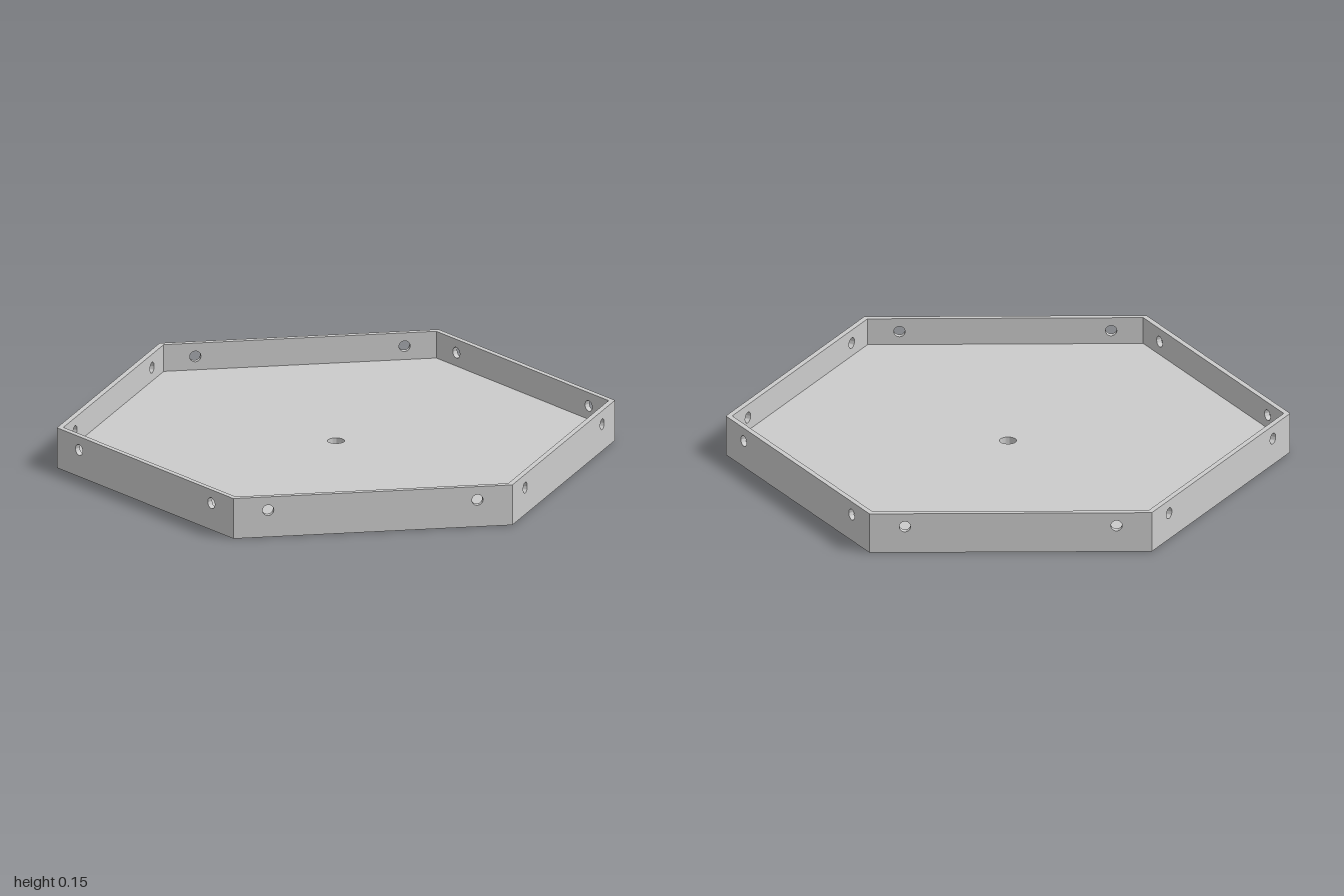
import * as THREE from 'three';
import { toCreasedNormals } from 'three/addons/utils/BufferGeometryUtils.js';

const OUTER = Math.sqrt(3) / 2; // centre to outer wall face
const WALL = 0.02;
const INNER = OUTER - WALL;
const HEIGHT = 0.15;
const FLOOR = 0.05;
const BORE = 0.03; // depth of the wide part of the centre hole

const material = new THREE.MeshStandardMaterial({ color: 0xcccccc });

function circle(x, y, r) {
  return new THREE.Path().absarc(x, y, r, 0, Math.PI * 2, true);
}

function extrude(shape, depth) {
  return new THREE.ExtrudeGeometry(shape, { depth, bevelEnabled: false, curveSegments: 24 });
}

function addMesh(group, name, geometry) {
  const mesh = new THREE.Mesh(toCreasedNormals(geometry, 0.6), material);
  mesh.name = name;
  group.add(mesh);
  return mesh;
}

// Hexagonal slab with a round hole in the middle
function floorLayer(holeRadius, y, thickness) {
  const radius = INNER * 2 / Math.sqrt(3);
  const points = [];
  for (let i = 0; i < 6; i++) {
    const a = Math.PI / 2 + i * Math.PI / 3;
    points.push(new THREE.Vector2(radius * Math.cos(a), radius * Math.sin(a)));
  }
  const shape = new THREE.Shape(points);
  shape.holes.push(circle(0, 0, holeRadius));
  return extrude(shape, thickness).rotateX(-Math.PI / 2).translate(0, y, 0);
}

// Wall panel with two bolt holes and mitred ends
function wallPanel() {
  const shape = new THREE.Shape([
    new THREE.Vector2(-0.5, 0), new THREE.Vector2(0.5, 0),
    new THREE.Vector2(0.5, HEIGHT), new THREE.Vector2(-0.5, HEIGHT),
  ]);
  for (const x of [-0.375, 0.375]) shape.holes.push(circle(x, 0.1, 0.02));
  const geometry = extrude(shape, WALL).translate(0, 0, INNER);
  const p = geometry.attributes.position;
  for (let i = 0; i < p.count; i++) {
    const x = p.getX(i);
    if (Math.abs(x) > 0.45) p.setX(i, Math.sign(x) * p.getZ(i) / Math.sqrt(3));
  }
  return geometry;
}

export function createModel() {
  const model = new THREE.Group();
  model.name = 'hexagonalTray';

  // Floor, with a stepped hole in the centre
  addMesh(model, 'floorBottom', floorLayer(0.014, 0, FLOOR - BORE));
  addMesh(model, 'floorTop', floorLayer(0.03, FLOOR - BORE, BORE));

  // Six side walls
  const panel = wallPanel();
  for (let i = 0; i < 6; i++) {
    addMesh(model, 'wall' + (i + 1), panel).rotation.y = Math.PI / 6 + i * Math.PI / 3;
  }
  return model;
}
